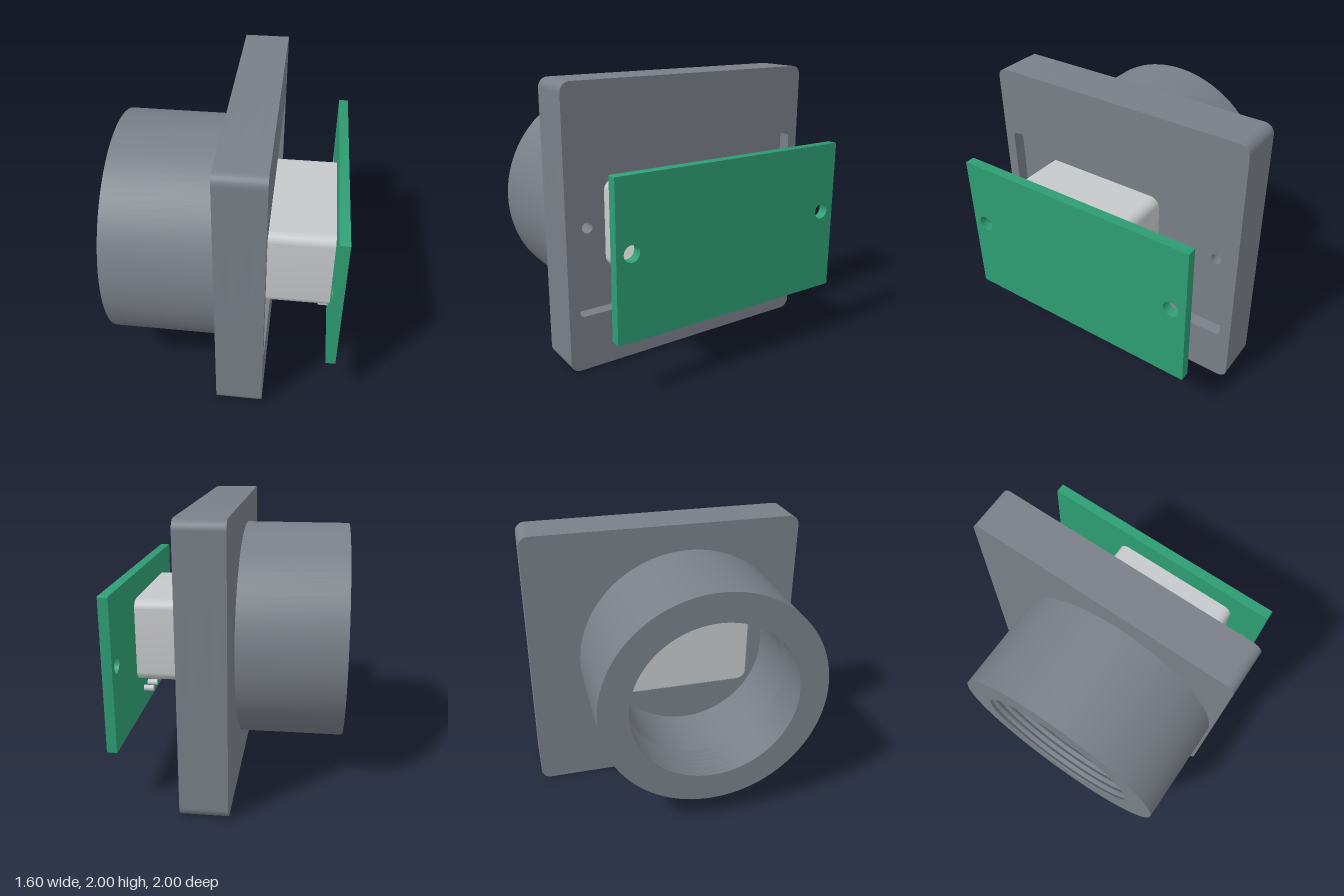
import * as THREE from 'three';
import { toCreasedNormals } from 'three/addons/utils/BufferGeometryUtils.js';

const CENTRE_Z = 0.17; // shared axis of pipe, sensor and pin slot

const mat = (name, color) => {
  const m = new THREE.MeshStandardMaterial({ color });
  m.name = name;
  return m;
};

// Rounded rectangle in the y/z plane (shape x is -z)
function roundRect(Type, z0, z1, y0, y1, r) {
  const s = new Type();
  const a = -z1, b = -z0;
  s.moveTo(a + r, y0);
  s.lineTo(b - r, y0);
  s.absarc(b - r, y0 + r, r, -Math.PI / 2, 0, false);
  s.lineTo(b, y1 - r);
  s.absarc(b - r, y1 - r, r, 0, Math.PI / 2, false);
  s.lineTo(a + r, y1);
  s.absarc(a + r, y1 - r, r, Math.PI / 2, Math.PI, false);
  s.lineTo(a, y0 + r);
  s.absarc(a + r, y0 + r, r, Math.PI, Math.PI * 1.5, false);
  return s;
}

function circleHole(z, y, r) {
  const p = new THREE.Path();
  p.absarc(-z, y, r, 0, Math.PI * 2, false);
  return p;
}

// Extrude a y/z outline along x, from x0 to x1
function slab(name, outline, holes, x0, x1, material) {
  outline.holes.push(...holes);
  let g = new THREE.ExtrudeGeometry(outline, { depth: x1 - x0, bevelEnabled: false, curveSegments: 12 });
  g.rotateY(Math.PI / 2);
  g.translate(x0, 0, 0);
  g = toCreasedNormals(g, 0.6);
  const mesh = new THREE.Mesh(g, material);
  mesh.name = name;
  return mesh;
}

export function createModel() {
  const model = new THREE.Group();
  model.name = 'sensorHousing';
  const caseGrey = mat('case grey', 0x7a7f88);
  const boardGreen = mat('board green', 0x2e9e74);
  const sensorGrey = mat('sensor light grey', 0xc6c9cb);

  // Square flange: back wall, pocketed floor and recess rim
  const flange = new THREE.Group();
  flange.name = 'flange';
  const outer = () => roundRect(THREE.Shape, -1, 1, 0, 2, 0.07);
  const window = () => roundRect(THREE.Path, CENTRE_Z - 0.495, CENTRE_Z + 0.495, 0.69, 1.315, 0.075);
  const slot = roundRect(THREE.Path, CENTRE_Z - 0.38, CENTRE_Z + 0.38, 0.495, 0.625, 0.0649);
  const screwHoles = [-0.8, 0.8].map((z) => circleHole(z, 1, 0.04));
  const recess = roundRect(THREE.Path, -0.92, 0.92, 0.4, 1.5, 0.035);
  flange.add(
    slab('flangeBack', outer(), [window()], -0.04, 0.06, caseGrey),
    slab('flangeFloor', outer(), [window(), slot, ...screwHoles], 0.06, 0.2, caseGrey),
    slab('flangeRim', outer(), [recess], 0.2, 0.29, caseGrey),
  );
  model.add(flange);

  // Pipe with internal thread grooves near the mouth
  const profile = [new THREE.Vector2(0.6, -0.04)];
  const pitch = 0.05;
  for (let i = 6; i >= 1; i--) {
    const y = -0.8 + i * pitch;
    profile.push(
      new THREE.Vector2(0.6, y),
      new THREE.Vector2(0.625, y - pitch * 0.4),
      new THREE.Vector2(0.6, y - pitch * 0.8),
    );
  }
  profile.push(
    new THREE.Vector2(0.6, -0.8),
    new THREE.Vector2(0.81, -0.8),
    new THREE.Vector2(0.81, -0.04),
  );
  const pipeGeometry = toCreasedNormals(new THREE.LatheGeometry(profile, 96), 0.5);
  pipeGeometry.rotateZ(-Math.PI / 2);
  const pipe = new THREE.Mesh(pipeGeometry, caseGrey);
  pipe.name = 'threadedPipe';
  pipe.position.set(0, 1, CENTRE_Z);
  model.add(pipe);

  // Circuit board with two screw holes
  const boardHoles = [-0.8, 0.8].map((z) => circleHole(z, 1, 0.058));
  model.add(slab('circuitBoard', roundRect(THREE.Shape, -0.91, 0.91, 0.405, 1.495, 0.004),
    boardHoles, 0.725, 0.795, boardGreen));

  // Sensor block reaching from the board through the flange window
  model.add(slab('sensorBlock', roundRect(THREE.Shape, CENTRE_Z - 0.488, CENTRE_Z + 0.488, 0.695, 1.31, 0.07),
    [], -0.04, 0.725, sensorGrey));

  // Row of solder pins under the sensor
  const pinGeometry = new THREE.CylinderGeometry(0.023, 0.023, 0.075, 20);
  pinGeometry.rotateZ(Math.PI / 2);
  for (let i = 0; i < 6; i++) {
    const pin = new THREE.Mesh(pinGeometry, sensorGrey);
    pin.name = 'pin' + (i + 1);
    pin.position.set(0.6875, 0.562, CENTRE_Z + (i - 2.5) * 0.12);
    model.add(pin);
  }

  return model;
}
